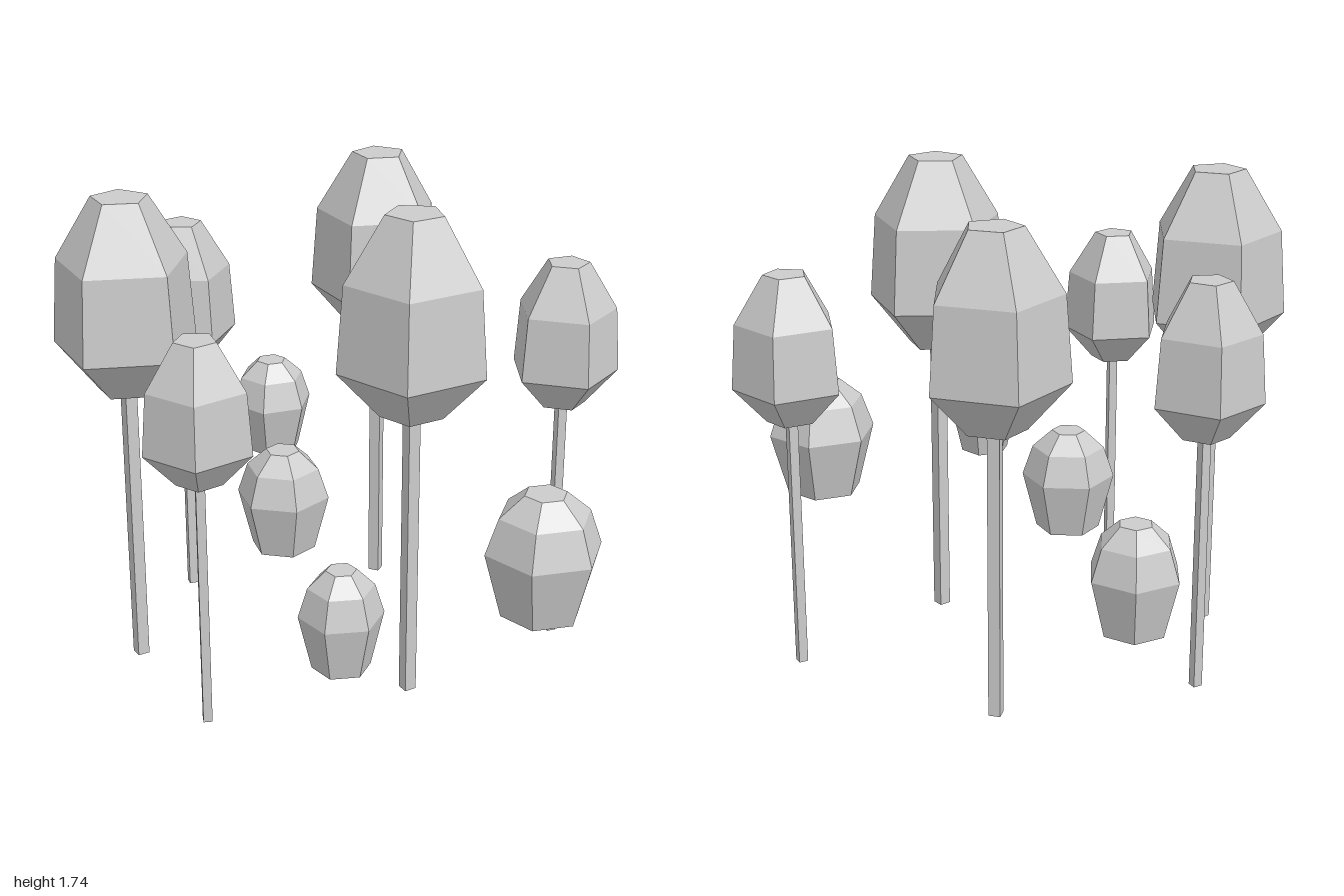
import * as THREE from 'three';

// Crown profiles: [radius factor, height fraction] from bottom to top
const TREE_PROFILE = [[0, 0], [0.43, 0], [1, 0.235], [0.91, 0.675], [0.39, 1], [0, 1]];
const BUSH_PROFILE = [[0, 0], [0.69, 0], [1, 0.54], [0.78, 0.83], [0.36, 1], [0, 1]];

// x, z, crown radius, crown angle, crown bottom, crown top, trunk angle (degrees)
const TREES = [
  [-0.395, -0.61, 0.197, 2, 0.93, 1.47, 45],
  [0.32, -0.466, 0.25, -8, 1.03, 1.7, 88],
  [-0.723, -0.15, 0.257, -6.5, 1.04, 1.72, 34],
  [0.097, 0.417, 0.258, -28, 1.05, 1.74, 35],
  [-0.626, 0.376, 0.186, 37, 0.9, 1.39, 56],
  [0.756, 0.215, 0.197, 18.5, 0.92, 1.44, 45],
];

// x, z, radius, angle, bottom, top
const BUSHES = [
  [0.024, -0.86, 0.16, 0, 0.42, 0.79],
  [-0.215, -0.008, 0.165, -28, 0.42, 0.79],
  [0.431, 0.759, 0.204, 6.5, 0.42, 0.855],
  [-0.315, 0.855, 0.137, 12, 0.42, 0.76],
];

// Faceted solid of revolution with one corner at the given angle from +x towards +z
function faceted(profile, sides, radius, angle, bottom, top) {
  const points = profile.map(([r, h]) => new THREE.Vector2(r * radius, bottom + h * (top - bottom)));
  return new THREE.LatheGeometry(points, sides, THREE.MathUtils.degToRad(90 - angle));
}

export function createModel() {
  const group = new THREE.Group();
  group.name = 'grove';
  const grey = new THREE.MeshStandardMaterial({ color: 0xcccccc, flatShading: true });
  grey.name = 'light grey';

  const add = (parent, name, geometry) => {
    const mesh = new THREE.Mesh(geometry, grey);
    mesh.name = name;
    parent.add(mesh);
  };

  // Tall trees: five-sided crown on a thin square trunk
  for (const [x, z, radius, angle, bottom, top, trunkAngle] of TREES) {
    const tree = new THREE.Group();
    tree.name = 'tree';
    tree.position.set(x, 0, z);
    add(tree, 'crown', faceted(TREE_PROFILE, 5, radius, angle, bottom, top));
    add(tree, 'trunk', faceted([[0, 0], [1, 0], [1, 1], [0, 1]], 4, radius * 0.118, trunkAngle, 0, bottom + 0.02));
    group.add(tree);
  }

  // Small six-sided crowns without trunks
  for (const [x, z, radius, angle, bottom, top] of BUSHES) {
    const bush = new THREE.Group();
    bush.name = 'bush';
    bush.position.set(x, 0, z);
    add(bush, 'foliage', faceted(BUSH_PROFILE, 6, radius, angle, bottom, top));
    group.add(bush);
  }
  return group;
}
